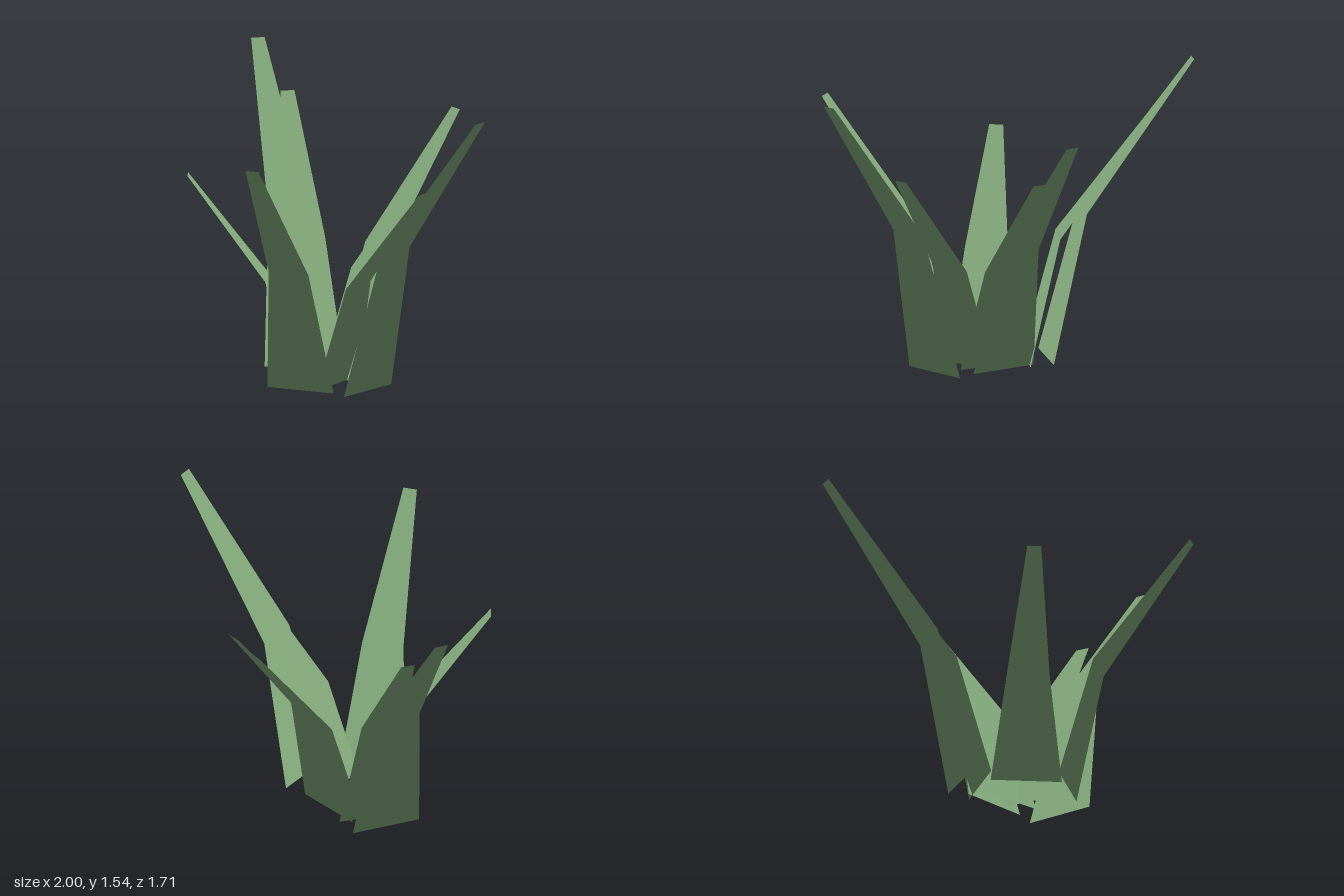
import * as THREE from 'three';

const leafGreen = new THREE.MeshStandardMaterial({ color: 0x82a97a, side: THREE.DoubleSide });
leafGreen.name = 'leafGreen';

// One flat bent blade, leaning towards local +z; size scales its height and reach
function bladeGeometry(size) {
  const rows = [ // half width, height, reach
    [0.183, 0, 0],
    [0.11, 0.77, 0.19],
    [0.036, 1.54, 0.77],
  ];
  const positions = [], normals = [], index = [];
  rows.forEach(([w, y, z], i) => {
    for (const side of [-1, 1]) {
      positions.push(side * w, y * size, z * size);
      normals.push(0, 0.99, 0.14); // soft foliage shading
    }
    if (i > 0) {
      const a = 2 * i - 2;
      index.push(a, a + 2, a + 1, a + 1, a + 2, a + 3);
    }
  });
  const geometry = new THREE.BufferGeometry();
  geometry.setAttribute('position', new THREE.Float32BufferAttribute(positions, 3));
  geometry.setAttribute('normal', new THREE.Float32BufferAttribute(normals, 3));
  geometry.setIndex(index);
  return geometry;
}

export function createModel() {
  const plant = new THREE.Group();
  plant.name = 'grassTuft';

  // name, size, base centre x and z, lean direction x and z
  const blades = [
    ['tallRightBlade', 1, 0.23, 0.02, 0.994, 0.11],
    ['tallBackBlade', 1, -0.375, -0.228, -0.778, -0.628],
    ['middleCornerBlade', 0.85, -0.276, -0.179, -0.707, -0.707],
    ['middleBackBlade', 0.85, -0.035, -0.22, 0.323, -0.946],
    ['middleFrontBlade', 0.85, -0.055, 0.212, 0.2225, 0.975],
    ['shortBackBlade', 0.7, -0.054, -0.133, 0.42, -0.907],
    ['shortFrontBlade', 0.7, -0.215, 0.055, -0.853, 0.522],
    ['shortSideBlade', 0.7, 0.015, -0.014, 1, 0],
  ];
  for (const [name, size, x, z, dx, dz] of blades) {
    const blade = new THREE.Mesh(bladeGeometry(size), leafGreen);
    blade.name = name;
    blade.position.set(x, 0, z);
    blade.rotation.y = Math.atan2(dx, dz);
    plant.add(blade);
  }
  return plant;
}
